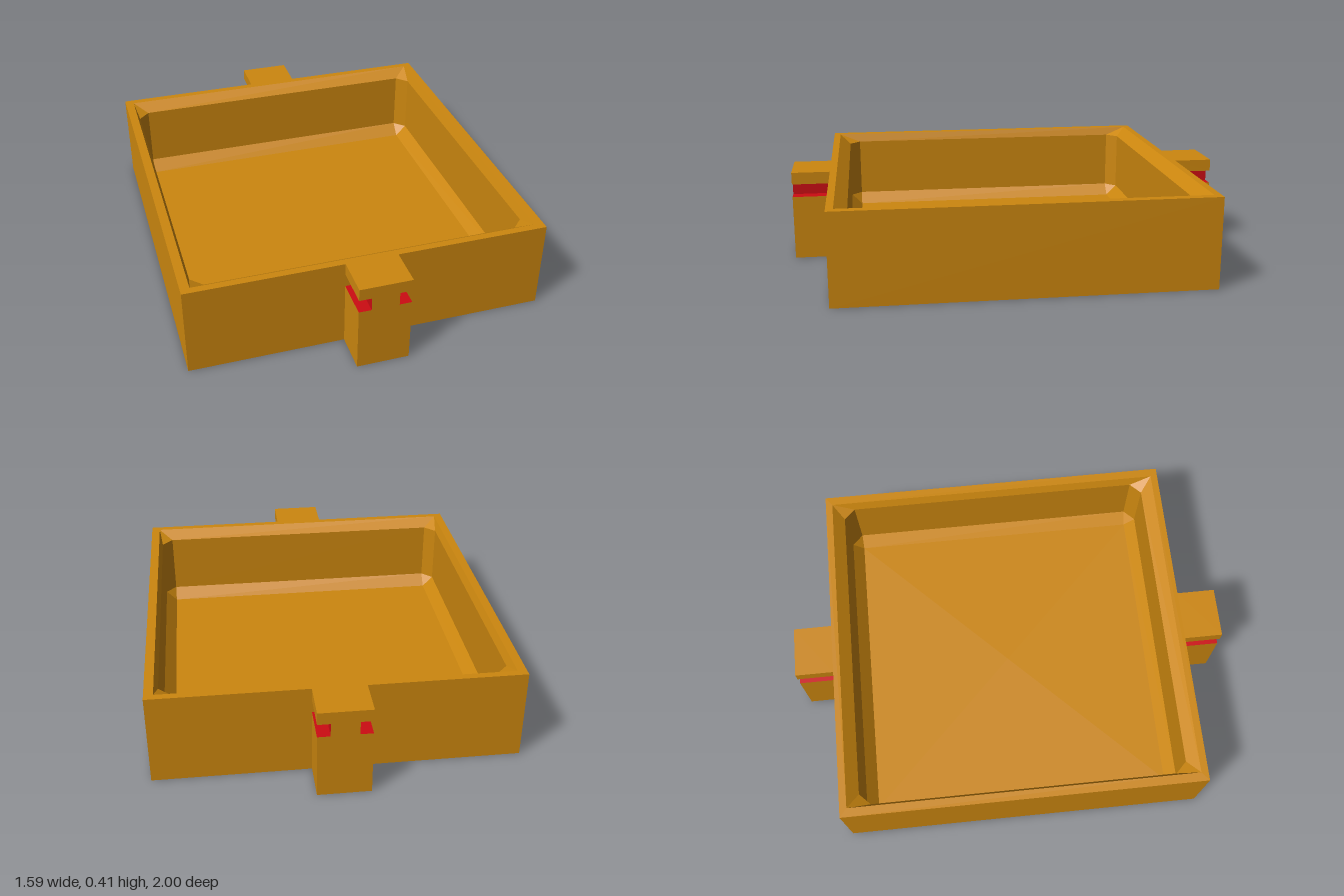
import * as THREE from 'three';

const amber = new THREE.MeshStandardMaterial({ color: 0xcc870f, flatShading: true });
const red = new THREE.MeshStandardMaterial({ color: 0xcc0c12, flatShading: true });

const HEIGHT = 0.41, HALF_X = 0.795, HALF_Z = 0.825;

// Flat-faced geometry from triangles, dropping those with no area
function facets(triangles) {
  const solid = triangles.filter(([a, b, c]) => new THREE.Triangle(a, b, c).getArea() > 1e-7);
  const geometry = new THREE.BufferGeometry().setFromPoints(solid.flat());
  geometry.computeVertexNormals();
  return geometry;
}

function addMesh(parent, name, geometry, material) {
  const mesh = new THREE.Mesh(geometry, material);
  mesh.name = name;
  parent.add(mesh);
}

// Rectangle of eight points at height y, its corners cut by c
function ring([hx, hz, y, c]) {
  return [
    [hx, -hz + c], [hx, hz - c], [hx - c, hz], [-hx + c, hz],
    [-hx, hz - c], [-hx, -hz + c], [-hx + c, -hz], [hx - c, -hz],
  ].map(([x, z]) => new THREE.Vector3(x, y, z));
}

// Tray skin, from the middle of the underside over the rim to the middle of the floor
function trayGeometry() {
  const rings = [
    [0, 0, 0, 0],
    [HALF_X, HALF_Z, 0, 0],
    [HALF_X, HALF_Z, HEIGHT, 0],
    [0.755, 0.793, HEIGHT, 0],      // flared mouth
    [0.74, 0.74, 0.37, 0.05],       // straight walls with cut corners
    [0.74, 0.74, 0.085, 0.05],
    [0.69, 0.69, 0.033, 0],         // bevel down to the floor
    [0, 0, 0.033, 0],
  ].map(ring);
  const triangles = [];
  for (let r = 0; r < rings.length - 1; r++) {
    const a = rings[r], b = rings[r + 1];
    for (let i = 0; i < 8; i++) {
      const n = (i + 1) % 8;
      triangles.push([a[i], b[i], a[n]], [a[n], b[i], b[n]]);
    }
  }
  return facets(triangles);
}

// Hanging tab with a notch on each side; the notch faces are red
function createTab(name) {
  const tab = new THREE.Group();
  tab.name = name;
  const half = [[0.115, 0], [0.115, 0.295], [0.06, 0.295], [0.06, 0.355], [0.115, 0.355], [0.115, HEIGHT]];
  const profile = [...half, ...half.map(([x, y]) => [-x, y]).reverse()];
  const z0 = HALF_Z, z1 = 1;
  const sides = [], notches = [];
  profile.forEach(([px, py], i) => {
    const [qx, qy] = profile[(i + 1) % profile.length];
    const p0 = new THREE.Vector3(px, py, z0), p1 = new THREE.Vector3(px, py, z1);
    const q0 = new THREE.Vector3(qx, qy, z0), q1 = new THREE.Vector3(qx, qy, z1);
    const inNotch = Math.min(py, qy) > 0.29 && Math.max(py, qy) < 0.36;
    (inNotch ? notches : sides).push([p0, q0, q1], [p0, q1, p1]);
  });
  const shape = new THREE.Shape(profile.map(([x, y]) => new THREE.Vector2(x, y)));
  addMesh(tab, name + 'Sides', facets(sides), amber);
  addMesh(tab, name + 'Notches', facets(notches), red);
  addMesh(tab, name + 'End', new THREE.ShapeGeometry(shape).translate(0, 0, z1), amber);
  return tab;
}

export function createModel() {
  const model = new THREE.Group();
  model.name = 'tray';
  addMesh(model, 'trayBody', trayGeometry(), amber);
  const backTab = createTab('backTab');
  backTab.rotation.y = Math.PI;
  model.add(createTab('frontTab'), backTab);
  return model;
}
